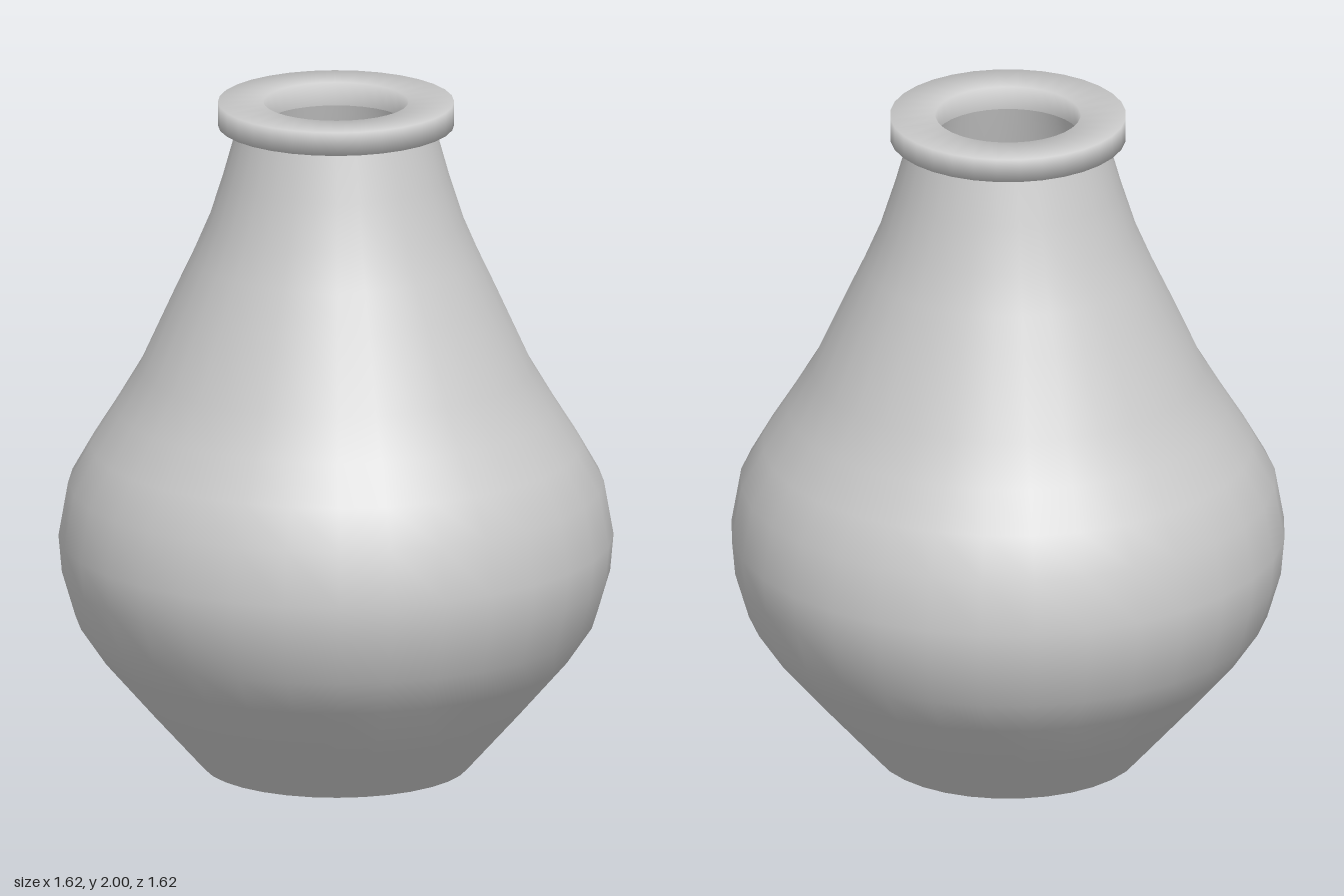
import * as THREE from 'three';

const SEGMENTS = 32;
const clay = new THREE.MeshStandardMaterial({ color: 0xcccccc });

// Outer silhouette of the body, from the foot up to the neck [radius, height]
const OUTER = [
  [0.39, 0], [0.54, 0.168], [0.685, 0.335], [0.76, 0.445], [0.8, 0.58], [0.81, 0.69],
  [0.782, 0.85], [0.717, 0.965], [0.645, 1.08], [0.574, 1.2], [0.474, 1.42],
  [0.42, 1.535], [0.373, 1.645], [0.33, 1.78], [0.288, 1.93],
];

// Revolves a profile; profiles run upward on the outside and downward on the inside
function turned(name, profile) {
  const points = profile.map(([r, y]) => new THREE.Vector2(r, y));
  const mesh = new THREE.Mesh(new THREE.LatheGeometry(points, SEGMENTS), clay);
  mesh.name = name;
  return mesh;
}

export function createModel() {
  const vase = new THREE.Group();
  vase.name = 'vase';

  // Flat foot and bulging body
  vase.add(turned('base', [[0, 0], [0.39, 0]]));
  vase.add(turned('body', OUTER));

  // Flared flat lip, softly shaded, overhanging the neck
  vase.add(turned('rim', [[0.288, 1.93], [0.345, 1.93], [0.345, 2], [0.212, 2], [0.212, 1.93]]));

  // Hollow inside, one wall thickness in from the body
  const wall = 0.076;
  const inner = OUTER.slice(1).reverse().map(([r, y]) => [r - wall, y]);
  vase.add(turned('innerWall', [...inner, [0.33, 0.07], [0, 0.07]]));

  return vase;
}
